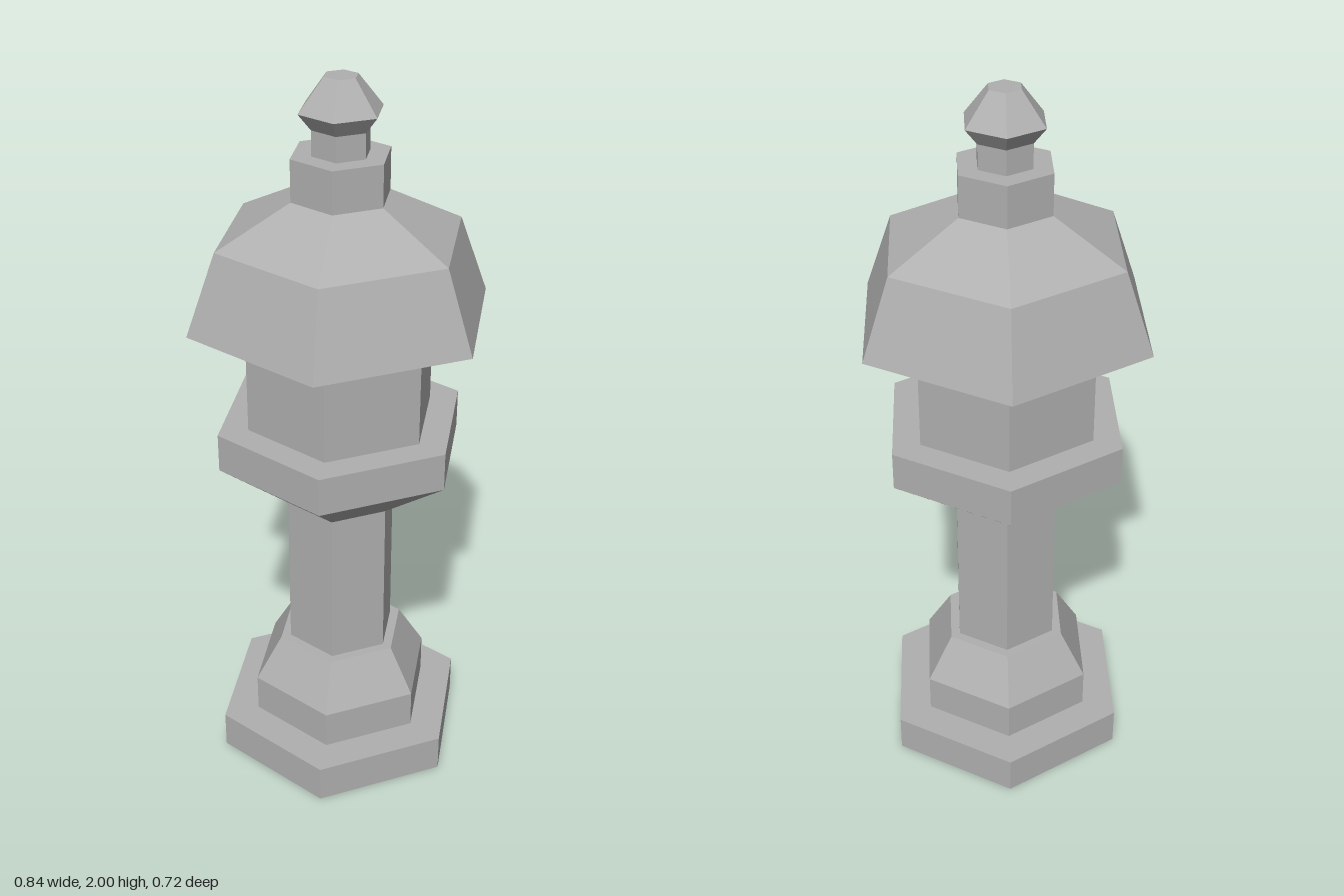
import * as THREE from 'three';

// Hexagonal solid of revolution with corners on the x axis and crisp facets.
// The profile lists [radius, height] from bottom to top.
function hexPart(name, profile, material) {
  const points = profile.map(([r, y]) => new THREE.Vector2(r, y));
  const geometry = new THREE.LatheGeometry(points, 6, Math.PI / 6).toNonIndexed();
  geometry.computeVertexNormals();
  const mesh = new THREE.Mesh(geometry, material);
  mesh.name = name;
  return mesh;
}

export function createModel() {
  const stone = new THREE.MeshStandardMaterial({ color: 0xb0b0b0 });
  stone.name = 'grey stone';

  // Each part includes the ledge on which the next one stands.
  const parts = {
    base: [[0, 0], [0.368, 0], [0.368, 0.11], [0.264, 0.11]],
    pedestal: [[0.264, 0.11], [0.264, 0.222], [0.186, 0.353], [0.157, 0.353]],
    shaft: [[0.157, 0.353], [0.157, 0.815]],
    platform: [[0.157, 0.815], [0.349, 0.962], [0.349, 1.07], [0.264, 1.07]],
    lightChamber: [[0.264, 1.07], [0.264, 1.372]],
    roof: [[0.264, 1.372], [0.418, 1.372], [0.336, 1.59], [0.134, 1.694]],
    collar: [[0.134, 1.694], [0.134, 1.806], [0.078, 1.806]],
    neck: [[0.078, 1.806], [0.078, 1.872]],
    finial: [[0.078, 1.872], [0.112, 1.915], [0.045, 2], [0, 2]],
  };

  const lantern = new THREE.Group();
  lantern.name = 'stoneLantern';
  for (const [name, profile] of Object.entries(parts)) {
    lantern.add(hexPart(name, profile, stone));
  }
  return lantern;
}
